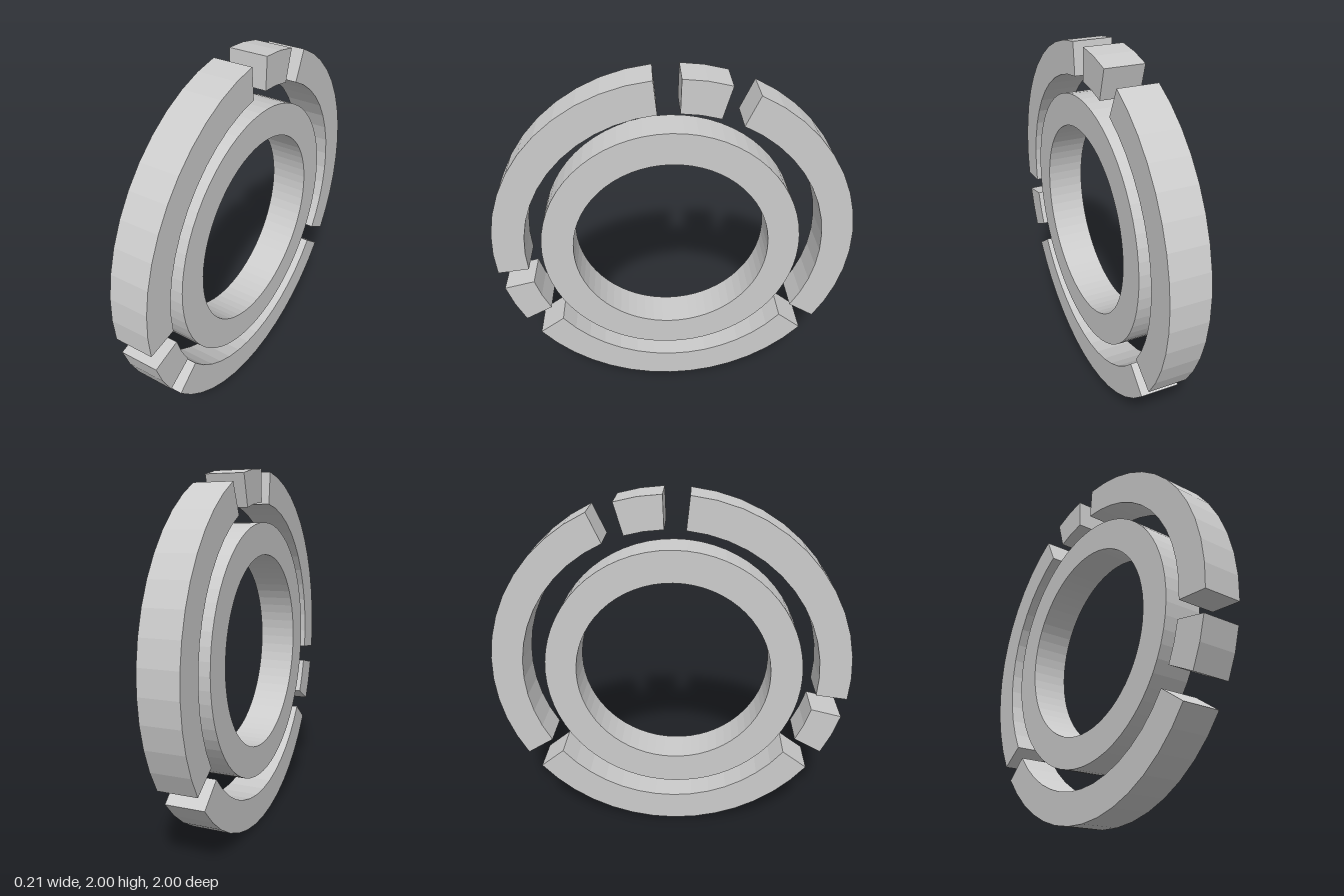
import * as THREE from 'three';

const DEPTH = 0.214;
const material = new THREE.MeshStandardMaterial({ color: 0xcccccc, flatShading: true });

// Points along a circular arc, angles in degrees
function arc(radius, from, to, steps) {
  return Array.from({ length: steps + 1 }, (_, i) => {
    const a = THREE.MathUtils.degToRad(from + ((to - from) * i) / steps);
    return new THREE.Vector2(radius * Math.cos(a), radius * Math.sin(a));
  });
}

// Extrude a flat shape, centred on its thickness
function plate(name, shape) {
  const geometry = new THREE.ExtrudeGeometry(shape, { depth: DEPTH, bevelEnabled: false });
  geometry.translate(0, 0, -DEPTH / 2);
  const mesh = new THREE.Mesh(geometry, material);
  mesh.name = name;
  return mesh;
}

// Piece of the broken outer ring
function ringSegment(name, from, to) {
  const steps = Math.max(2, Math.round((to - from) / 7.5));
  const outline = [...arc(1, from, to, steps), ...arc(0.825, to, from, steps)];
  const mesh = plate(name, new THREE.Shape(outline));
  mesh.position.y = 1;
  return mesh;
}

export function createModel() {
  const model = new THREE.Group();
  model.name = 'splitRing';

  // Ring plane faces sideways
  const rings = new THREE.Group();
  rings.name = 'rings';
  rings.rotation.y = Math.PI / 2;
  model.add(rings);

  // Closed inner ring, slightly off centre
  const disc = new THREE.Shape(arc(0.717, 0, 360, 64).slice(0, -1));
  disc.holes.push(new THREE.Path(arc(0.542, 360, 0, 64).slice(0, -1)));
  const inner = plate('innerRing', disc);
  inner.position.set(-0.017, 1.004, 0);
  rings.add(inner);

  // Three long arcs and two short blocks
  const segments = [
    ['frontArc', 95.8, 187],
    ['frontBlock', 193.6, 208.5],
    ['bottomArc', 216.2, 320.9],
    ['backArc', -32.3, 65.2],
    ['topBlock', 73.6, 88],
  ];
  for (const [name, from, to] of segments) rings.add(ringSegment(name, from, to));

  return model;
}
